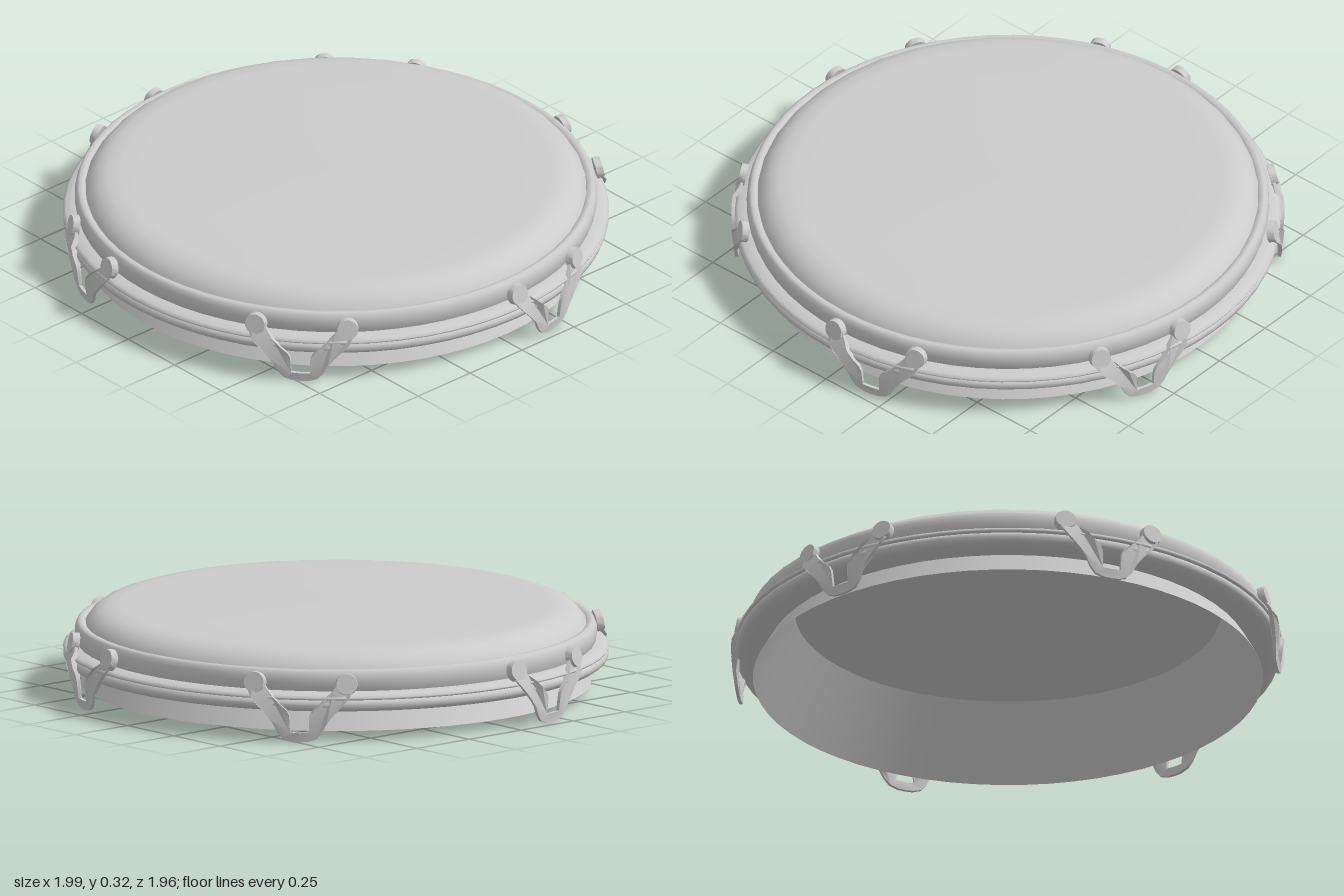
import * as THREE from 'three';
import { toCreasedNormals } from 'three/addons/utils/BufferGeometryUtils.js';

const material = new THREE.MeshStandardMaterial({ color: 0xcccccc, side: THREE.DoubleSide });

function addMesh(parent, name, geometry) {
  const mesh = new THREE.Mesh(geometry, material);
  mesh.name = name;
  parent.add(mesh);
  return mesh;
}

// Smooth surface of revolution through [radius, height] points
function turned(points, segments = 64) {
  return new THREE.LatheGeometry(points.map(([r, y]) => new THREE.Vector2(r, y)), segments);
}

// Inner radius of the bracket plate at a given height
const plateProfile = [[0, 0.966], [0.07, 0.976], [0.14, 0.982], [0.165, 0.98], [0.19, 0.958], [0.26, 0.94]];
function plateRadius(y) {
  for (let i = 1; i < plateProfile.length; i++) {
    const [y0, r0] = plateProfile[i - 1];
    const [y1, r1] = plateProfile[i];
    if (y <= y1) return r0 + (r1 - r0) * Math.max(0, (y - y0) / (y1 - y0));
  }
  return plateProfile.at(-1)[1];
}

// Forked plate drawn flat, then wrapped around the hoop
function bracketGeometry() {
  const half = [
    // outer edge, bottom to top
    [0.03, 0.002], [0.06, 0.012], [0.08, 0.035], [0.097, 0.07], [0.12, 0.1], [0.15, 0.132],
    [0.175, 0.16], [0.192, 0.185], [0.199, 0.21], [0.188, 0.235], [0.168, 0.243],
    // inner edge, top to bottom
    [0.148, 0.235], [0.136, 0.21], [0.12, 0.188], [0.096, 0.165], [0.07, 0.14],
    [0.045, 0.118], [0.036, 0.1], [0.034, 0.07], [0.034, 0.036],
  ];
  const mirrored = half.map(([x, y]) => [-x, y]).reverse();
  const outline = [[0, 0], ...half, [0, 0.034], ...mirrored];
  const shape = new THREE.Shape(outline.map(([x, y]) => new THREE.Vector2(x, y)));
  const geometry = new THREE.ExtrudeGeometry(shape, { depth: 0.012, bevelEnabled: false });
  const p = geometry.attributes.position;
  for (let i = 0; i < p.count; i++) {
    const angle = p.getX(i) / 0.97;
    const y = p.getY(i);
    const r = plateRadius(y) + p.getZ(i);
    p.setXYZ(i, r * Math.sin(angle), y, r * Math.cos(angle));
  }
  geometry.computeVertexNormals();
  return toCreasedNormals(geometry, 0.6);
}

export function createModel() {
  const model = new THREE.Group();
  model.name = 'drum';

  // Conical shell, open at the bottom
  addMesh(model, 'shell', turned([[0.915, 0.03], [0.765, 0.29]]));

  // Underside of the skin, closing the top of the shell
  const underside = addMesh(model, 'skinUnderside', new THREE.CircleGeometry(0.765, 64));
  underside.rotation.x = Math.PI / 2;
  underside.position.y = 0.29;

  // Stretched skin with a rounded shoulder
  addMesh(model, 'skin', turned([
    [0.905, 0.235], [0.895, 0.255], [0.88, 0.275], [0.855, 0.295],
    [0.82, 0.308], [0.77, 0.314], [0.6, 0.317], [0, 0.32],
  ], 40));

  // Upper band of the hoop
  addMesh(model, 'upperHoop', turned([
    [0.89, 0.19], [0.89, 0.24], [0.905, 0.253], [0.92, 0.255], [0.93, 0.247], [0.936, 0.23],
    [0.937, 0.21], [0.933, 0.19], [0.927, 0.175],
  ]));

  // Flared lip and the bead below it
  addMesh(model, 'hoopLip', turned([
    [0.927, 0.178], [0.945, 0.176], [0.968, 0.17], [0.979, 0.162], [0.976, 0.155], [0.966, 0.152],
  ]));
  addMesh(model, 'lowerBead', turned([
    [0.966, 0.152], [0.975, 0.145], [0.978, 0.133], [0.973, 0.12],
    [0.96, 0.111], [0.94, 0.108], [0.87, 0.108],
  ]));

  // Six brackets, each with two rivets
  const plate = bracketGeometry();
  const rivet = toCreasedNormals(new THREE.CylinderGeometry(0.037, 0.04, 0.026, 24), 0.6);
  rivet.rotateX(Math.PI / 2 - 0.2);
  for (let i = 0; i < 6; i++) {
    const bracket = new THREE.Group();
    bracket.name = `bracket${i + 1}`;
    bracket.rotation.y = THREE.MathUtils.degToRad(-19.3 + 60 * i);
    addMesh(bracket, 'bracketPlate', plate);
    for (const side of [-1, 1]) {
      const angle = side * 0.168 / 0.97;
      const head = addMesh(bracket, side < 0 ? 'rightRivet' : 'leftRivet', rivet);
      head.position.set(0.963 * Math.sin(angle), 0.21, 0.963 * Math.cos(angle));
      head.rotation.y = angle;
    }
    model.add(bracket);
  }
  return model;
}
